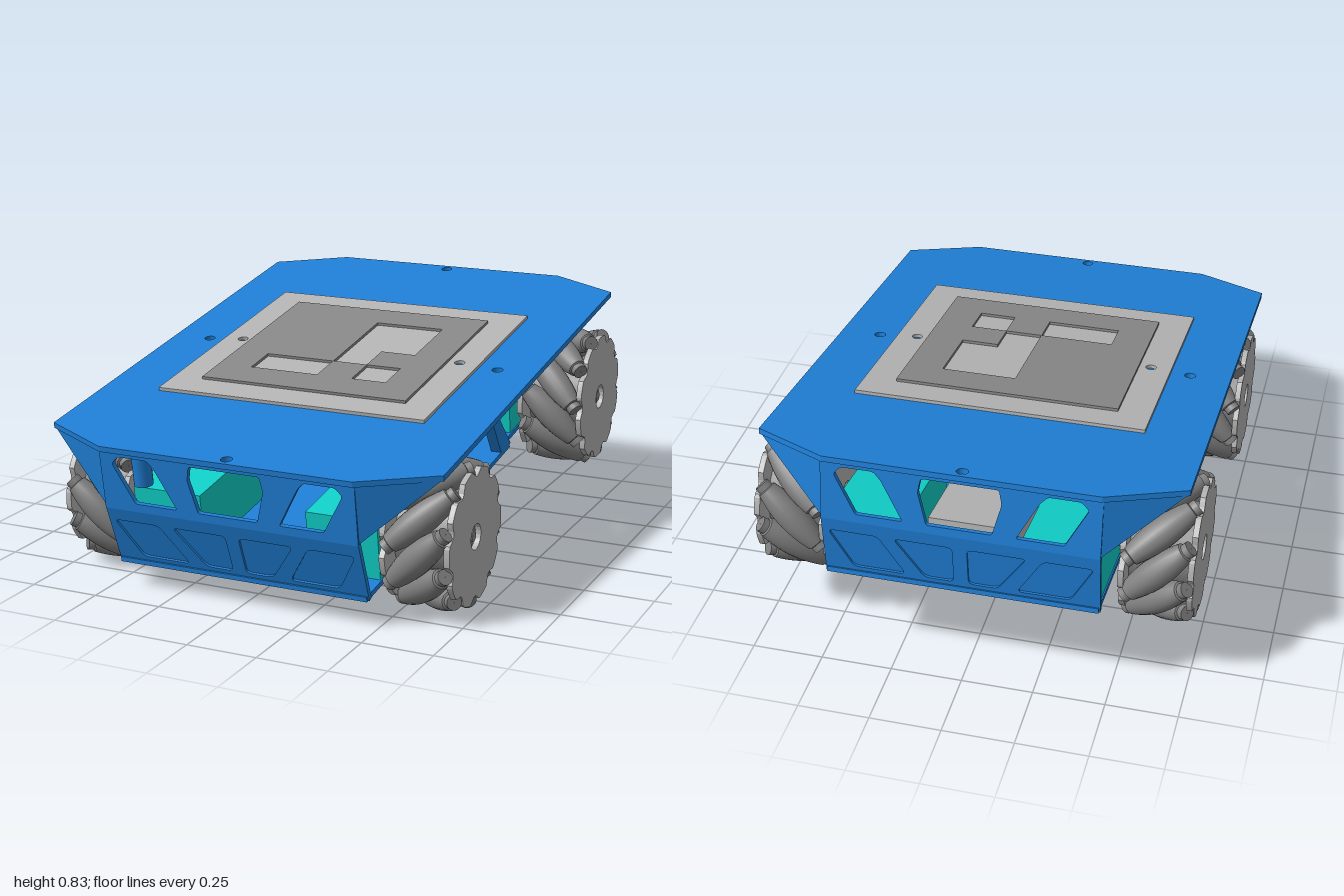
import * as THREE from 'three';
import { toCreasedNormals } from 'three/addons/utils/BufferGeometryUtils.js';

const mat = (color) => new THREE.MeshStandardMaterial({ color, side: THREE.DoubleSide });
const BLUE = mat(0x1f7fd6), TEAL = mat(0x10d0c8), LIGHT = mat(0xb4b4b4), DARK = mat(0x888888), ROLLER = mat(0x808080);

function add(parent, name, geometry, material) {
  const m = new THREE.Mesh(geometry, material);
  m.name = name;
  parent.add(m);
  return m;
}

function box(parent, name, material, x0, x1, y0, y1, z0, z1) {
  const m = add(parent, name, new THREE.BoxGeometry(x1 - x0, y1 - y0, z1 - z0), material);
  m.position.set((x0 + x1) / 2, (y0 + y1) / 2, (z0 + z1) / 2);
  return m;
}

const poly = (pts) => new THREE.Shape(pts.map(([x, y]) => new THREE.Vector2(x, y)));
const rect = (x0, y0, x1, y1) => [[x0, y0], [x1, y0], [x1, y1], [x0, y1]];
const circle = (x, y, r, n = 20) => Array.from({ length: n }, (_, i) =>
  [x + r * Math.cos(i * 2 * Math.PI / n), y + r * Math.sin(i * 2 * Math.PI / n)]);
const mirrorX = (pts) => pts.map(([x, y]) => [-x, y]);

// Outline with rounded corners
function rounded(pts, r = 0.02) {
  const out = new THREE.Shape(), n = pts.length;
  pts.forEach((p, i) => {
    const c = new THREE.Vector2(...p);
    const toward = (q) => new THREE.Vector2(...q).sub(c).setLength(r).add(c);
    const a = toward(pts[(i + n - 1) % n]), b = toward(pts[(i + 1) % n]);
    if (i) out.lineTo(a.x, a.y); else out.moveTo(a.x, a.y);
    out.quadraticCurveTo(c.x, c.y, b.x, b.y);
  });
  out.closePath();
  return out;
}

// Extruded sheet with holes, lying in xy
function sheet(outline, holes, depth) {
  const s = poly(outline);
  s.holes = holes.map((h) => (Array.isArray(h) ? poly(h) : h));
  return new THREE.ExtrudeGeometry(s, { depth, bevelEnabled: false, curveSegments: 5 });
}
// The same, laid flat: outline given as x, z and bottom at y
const flat = (outline, holes, y, depth) => {
  const flip = (pts) => pts.map(([x, z]) => [x, -z]);
  return sheet(flip(outline), holes.map(flip), depth).rotateX(-Math.PI / 2).translate(0, y, 0);
};

// Hexahedron lofted from one quad to another
function loft(a, b) {
  const p = [...a, ...b], pos = [];
  const quad = (i, j, k, l) => [i, j, k, i, k, l].forEach((n) => pos.push(...p[n]));
  quad(0, 3, 2, 1);
  quad(4, 5, 6, 7);
  for (let i = 0; i < 4; i++) quad(i, (i + 1) % 4, 4 + (i + 1) % 4, 4 + i);
  const g = new THREE.BufferGeometry();
  g.setAttribute('position', new THREE.Float32BufferAttribute(pos, 3));
  g.computeVertexNormals();
  return g;
}

// Wheel with ten slanted rollers, axle along z, outer face at +z
function wheel(k) {
  const g = new THREE.Group(), N = 10, R = 0.208, step = 2 * Math.PI / N;
  const profile = [[0.001, -0.15], [0.027, -0.15], [0.027, -0.128]];
  for (let i = 0; i <= 10; i++) {
    const s = -0.125 + 0.025 * i;
    profile.push([0.26 - Math.sqrt(R * R + s * s / 2), s]);
  }
  profile.push([0.027, 0.128], [0.027, 0.15], [0.001, 0.15]);
  const barrel = toCreasedNormals(new THREE.LatheGeometry(profile.map(([x, y]) => new THREE.Vector2(x, y)), 16), 0.6);
  for (let i = 0; i < N; i++) {
    const a = i * step;
    const m = add(g, 'roller', barrel, ROLLER);
    m.position.set(R * Math.cos(a), R * Math.sin(a), 0);
    m.quaternion.setFromUnitVectors(new THREE.Vector3(0, 1, 0),
      new THREE.Vector3(-k * Math.sin(a), k * Math.cos(a), 1).normalize());
  }
  // Scalloped side discs, notched where the roller ends pass
  for (const s of [1, -1]) {
    const rim = Array.from({ length: 120 }, (_, i) => {
      const a = i * Math.PI / 60, c = Math.cos((a - s * k * 0.46) * N);
      const r = 0.236 - 0.026 * Math.max(0, c);
      return [r * Math.cos(a), r * Math.sin(a)];
    });
    const disc = add(g, 'wheelDisc', sheet(rim, [circle(0, 0, 0.045)], 0.02), LIGHT);
    disc.position.z = s > 0 ? 0.105 : -0.125;
  }
  add(g, 'wheelCore', new THREE.CylinderGeometry(0.15, 0.15, 0.21, 32).rotateX(Math.PI / 2), ROLLER);
  add(g, 'axle', new THREE.CylinderGeometry(0.02, 0.02, 0.235, 16).rotateX(Math.PI / 2), DARK);
  return g;
}

// Bumper with windows above, pocketed panel below and slanted corners
function bumper() {
  const g = new THREE.Group();
  const side = [[0.19, 0.485], [0.35, 0.485], [0.425, 0.625], [0.4, 0.652], [0.29, 0.652], [0.265, 0.625]];
  const mid = [[-0.11, 0.485], [0.11, 0.485], [0.14, 0.6], [0.13, 0.652], [-0.13, 0.652], [-0.14, 0.6]];
  add(g, 'windowPanel', sheet(rect(-0.47, 0.455, 0.47, 0.67),
    [rounded(side, 0.01), rounded(mirrorX(side), 0.01), rounded(mid, 0.01)], 0.018), BLUE).position.z = 0.967;

  const outer = [[0.19, 0.035], [0.37, 0.035], [0.45, 0.185], [0.28, 0.185]];
  const inner = [[0.025, 0.035], [0.125, 0.035], [0.225, 0.185], [0.025, 0.185]];
  const lower = new THREE.Group();
  lower.name = 'lowerPanel';
  lower.position.set(0, 0.227, 0.93);
  lower.rotation.x = 0.232;
  const pockets = [outer, inner, mirrorX(outer), mirrorX(inner)].map((p) => rounded(p));
  add(lower, 'pocketedFace', sheet(rect(-0.47, 0, 0.47, 0.239), pockets, 0.008), BLUE).position.z = -0.008;
  box(lower, 'panelBacking', BLUE, -0.47, 0.47, 0, 0.239, -0.018, -0.008);
  g.add(lower);

  for (const s of [1, -1]) {
    const tri = [[s * 0.465, 0.67, 0.985], [s * 0.465, 0.455, 0.98], [s * 0.722, 0.67, 0.86]];
    if (s > 0) tri.reverse();
    const back = tri.map(([x, y, z]) => [x - s * 0.012, y, z - 0.016]);
    const first = s > 0 ? 2 : 0;
    add(g, 'cornerPanel', loft([back[first], back[1], back[2 - first], back[2 - first]].map((p) => p),
      [tri[first], tri[1], tri[2 - first], tri[2 - first]]), BLUE);
  }
  return g;
}

export function createModel() {
  const model = new THREE.Group();
  model.name = 'roverRobot';
  const body = new THREE.Group();
  body.name = 'tiltedBody';
  body.rotation.x = 0.151;
  body.position.set(0, 0.0126, -0.083);
  model.add(body);

  // Top and bottom plates
  const deck = [[-0.465, -0.99], [0.465, -0.99], [0.725, -0.862], [0.725, 0.862],
    [0.465, 0.99], [-0.465, 0.99], [-0.725, 0.862], [-0.725, -0.862]];
  const screwHoles = [[0.58, 0], [-0.58, 0], [0, 0.955], [0, -0.955]].map(([x, z]) => circle(x, z, 0.02));
  add(body, 'topPlate', flat(deck, screwHoles, 0.665, 0.02), BLUE);
  const floor = [[-0.465, -0.94], [0.465, -0.94], [0.465, -0.33], [0.49, -0.33], [0.49, 0.33], [0.465, 0.33],
    [0.465, 0.94], [-0.465, 0.94], [-0.465, 0.33], [-0.49, 0.33], [-0.49, -0.33], [-0.465, -0.33]];
  const floorHoles = [];
  for (const x of [-0.42, 0.42]) for (const z of [-0.72, -0.51, 0.51, 0.72]) floorHoles.push(circle(x, z, 0.012, 12));
  add(body, 'bottomPlate', flat(floor, floorHoles, 0.227, 0.018), BLUE);

  // Marker board: pale base and darker cut-out layer
  add(body, 'markerBase', flat(rect(-0.51, -0.507, 0.51, 0.507),
    [circle(0.437, 0, 0.019), circle(-0.437, 0, 0.019)], 0.685, 0.012), LIGHT);
  const c = 0.132, e = 0.0015;
  const cells = [
    [[0, -2 * c], [2 * c, -2 * c], [2 * c, 0], [c, 0], [c, c - e], [0, c - e]],
    rect(-2 * c, c, -e, 2 * c),
    rect(c + e, c, 2 * c, 2 * c),
  ];
  add(body, 'markerPattern', flat(rect(-0.395, -0.395, 0.395, 0.395), cells, 0.697, 0.01), DARK);

  // Frame below the deck, floor rails and inner parts
  for (const s of [1, -1]) {
    box(body, 'deckRail', BLUE, s * 0.4 - 0.012, s * 0.4 + 0.012, 0.63, 0.665, -0.42, 0.42);
    box(body, 'deckCrossRail', BLUE, -0.4, 0.4, 0.63, 0.665, s * 0.41 - 0.012, s * 0.41 + 0.012);
    box(body, 'floorRail', BLUE, s * 0.3 - 0.012, s * 0.3 + 0.012, 0.24, 0.3, -0.16, 0.16);
  }
  box(body, 'deckLiner', DARK, -0.388, 0.388, 0.65, 0.664, -0.398, 0.398);
  box(body, 'battery', LIGHT, -0.15, 0.15, 0.245, 0.42, -0.82, -0.45);
  const post = add(body, 'post', new THREE.CylinderGeometry(0.033, 0.033, 0.14, 20), BLUE);
  post.position.set(-0.35, 0.6, 0.92);

  // Bumpers at both ends
  for (const [name, turn] of [['frontBumper', 0], ['rearBumper', Math.PI]]) {
    const b = bumper();
    b.name = name;
    b.rotation.y = turn;
    body.add(b);
  }

  // Side braces: waist bar, legs down to the floor, flared arms up to the deck edge
  for (const s of [1, -1]) {
    box(body, 'waistBar', BLUE, Math.min(s * 0.45, s * 0.49), Math.max(s * 0.45, s * 0.49), 0.462, 0.492, -0.16, 0.16);
    for (const f of [1, -1]) {
      const section = (x0, x1, y, z0, z1) => {
        const q = [[s * x0, y, f * z0], [s * x0, y, f * z1], [s * x1, y, f * z1], [s * x1, y, f * z0]];
        return s * f > 0 ? q : q.reverse();
      };
      add(body, 'braceLeg', loft(section(0.45, 0.49, 0.24, 0.24, 0.34), section(0.45, 0.49, 0.48, 0.125, 0.165)), BLUE);
      add(body, 'braceArm', loft(section(0.45, 0.49, 0.475, 0.125, 0.165), section(0.68, 0.72, 0.667, 0.27, 0.36)), BLUE);
      // Motor housings and wheels
      const z = f * 0.617;
      box(body, 'motorHousing', TEAL, Math.min(s * 0.2, s * 0.46), Math.max(s * 0.2, s * 0.46), 0.245, 0.458, z - 0.31, z + 0.2);
      const w = wheel(-s * f);
      w.name = (f > 0 ? 'front' : 'rear') + (s > 0 ? 'Left' : 'Right') + 'Wheel';
      w.rotation.y = s * Math.PI / 2;
      w.position.set(s * (f > 0 ? 0.6 : 0.63), 0.349, z);
      body.add(w);
      const hub = add(body, 'driveShaft', new THREE.CylinderGeometry(0.04, 0.04, 0.1, 20).rotateZ(Math.PI / 2), DARK);
      hub.position.set(s * 0.49, 0.349, z);
    }
  }
  return model;
}
